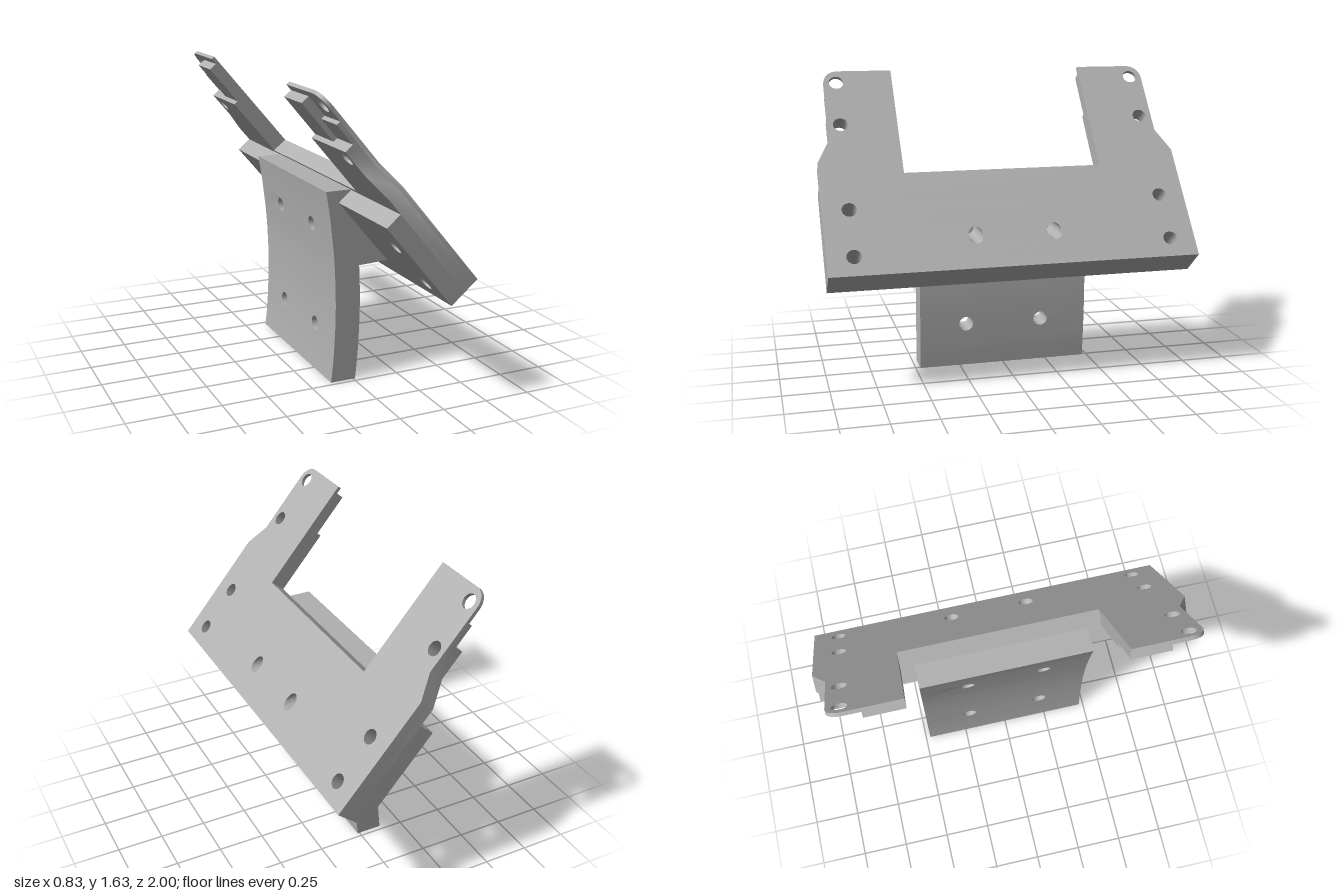
import * as THREE from 'three';
import { mergeGeometries, toCreasedNormals } from 'three/addons/utils/BufferGeometryUtils.js';

const TILT = THREE.MathUtils.degToRad(50);
const SIN = Math.sin(TILT), COS = Math.cos(TILT);

// Ring of points for a hole, centred at y + skew * depth
function ring(h, z) {
  const pts = [];
  for (let i = 0; i < 32; i++) {
    const a = (i / 32) * Math.PI * 2;
    pts.push([h.x + h.rx * Math.cos(a), h.y - h.skew * z + h.ry * Math.sin(a)]);
  }
  return pts;
}

// Solid between z0 and z1 with a counter-clockwise outline and straight or slanted holes
function prism(outline, holes, z0, z1) {
  const pos = [];
  const vec = (pts) => pts.map(([x, y]) => new THREE.Vector2(x, y));
  for (const z of [z0, z1]) {
    const shape = new THREE.Shape(vec(outline));
    for (const h of holes) shape.holes.push(new THREE.Path(vec(ring(h, z))));
    const cap = new THREE.ShapeGeometry(shape).toNonIndexed().attributes.position;
    for (let i = 0; i < cap.count; i += 3) {
      const order = z === z1 ? [0, 1, 2] : [0, 2, 1];
      for (const k of order) pos.push(cap.getX(i + k), cap.getY(i + k), z);
    }
  }
  const wall = (low, high) => {
    for (let i = 0; i < low.length; i++) {
      const j = (i + 1) % low.length;
      const a = [...low[i], z0], b = [...low[j], z0], c = [...high[j], z1], d = [...high[i], z1];
      pos.push(...a, ...b, ...c, ...a, ...c, ...d);
    }
  };
  wall(outline, outline);
  for (const h of holes) wall(ring(h, z0).reverse(), ring(h, z1).reverse());
  const g = new THREE.BufferGeometry();
  g.setAttribute('position', new THREE.Float32BufferAttribute(pos, 3));
  return g;
}

const rect = (x0, x1, y0, y1) => [[x0, y0], [x1, y0], [x1, y1], [x0, y1]];
const mirrored = (half) => [...half, ...half.map(([x, y]) => [-x, y]).reverse()];

export function createModel() {
  const model = new THREE.Group();
  model.name = 'angledBracket';
  const grey = new THREE.MeshStandardMaterial({ color: 0xb0b0b0 });
  grey.name = 'grey';

  const add = (parent, name, geometry) => {
    const mesh = new THREE.Mesh(toCreasedNormals(geometry, 0.5), grey);
    mesh.name = name;
    parent.add(mesh);
    return mesh;
  };

  // Tilted plate: local x across, y up the slope, z out of the top face
  const plate = new THREE.Group();
  plate.name = 'tiltedPlate';
  plate.applyMatrix4(new THREE.Matrix4().makeBasis(
    new THREE.Vector3(0, 0, -1),
    new THREE.Vector3(-COS, SIN, 0),
    new THREE.Vector3(SIN, COS, 0),
  ).setPosition(0.417, 0.667, 0));
  model.add(plate);

  // Square mounting holes along the sides, level holes in the middle
  const sideHoles = (...ys) => ys.flatMap((y) => [-0.86, 0.86].map((x) => ({ x, y, rx: 0.04, ry: 0.04, skew: 0 })));
  const levelHoles = [-0.215, 0.215].map((x) => ({ x, y: 0.193, rx: 0.04, ry: 0.04 / SIN, skew: COS / SIN }));

  const shoulder = [[1, 0], [1, 0.67], [0.93, 0.807]];
  const corner = [];
  for (let i = 0; i <= 8; i++) {
    const a = (i / 8) * Math.PI / 2;
    corner.push([0.85 + 0.08 * Math.cos(a), 1.177 + 0.08 * Math.sin(a)]);
  }
  const face = mirrored([...shoulder, ...corner, [0.55, 1.257], [0.55, 0.588]]);
  const core = mirrored([...shoulder, [0.93, 0.968], [0.55, 0.968], [0.55, 0.588]]);
  add(plate, 'topSkin', prism(face, [...sideHoles(0.108, 0.38, 0.905, 1.18), ...levelHoles], -0.02, 0));
  add(plate, 'plateCore', prism(core, [...sideHoles(0.108, 0.38, 0.905), ...levelHoles], -0.092, -0.02));
  add(plate, 'thickBase', prism(rect(-1, 1, 0, 0.57), [...sideHoles(0.108, 0.38), ...levelHoles], -0.186, -0.092));

  // Stepped ribs under each arm
  for (const s of [-1, 1]) {
    const span = (a, b) => (s > 0 ? [a, b] : [-b, -a]);
    add(plate, 'armRib', prism(rect(...span(0.55, 0.76), 0.96, 1.22), [], -0.066, -0.02));
    add(plate, 'armStep', prism(rect(...span(0.76, 0.93), 0.96, 1.095), [], -0.042, -0.02));
  }

  // Curved stand, made of strips bent along an arc
  const levels = [0, 0.08, 0.17, 0.32, 0.42, 0.52, 0.62, 0.73, 0.9, 0.97, 1.048];
  const strips = levels.slice(1).map((top, i) => {
    const holes = [0.245, 0.815].filter((y) => y > levels[i] && y < top)
      .flatMap((y) => [-0.215, 0.215].map((x) => ({ x, y, rx: 0.04, ry: 0.04, skew: 0 })));
    return prism(rect(-0.475, 0.475, levels[i], top), holes, -0.105, 0.035);
  });
  const standGeometry = mergeGeometries(strips);
  const p = standGeometry.attributes.position;
  for (let i = 0; i < p.count; i++) {
    const r = p.getZ(i) + 3.605;
    p.setZ(i, Math.sqrt(r * r - (p.getY(i) - 0.42) ** 2) - 3.605);
  }
  add(model, 'curvedStand', standGeometry).rotation.y = Math.PI / 2;

  // Wedges joining the stand to the plate
  const wedge = [[0, 0.635], [0.03, 0.635], [0.2, 0.643], [0.23, 0.645], [0.04, 0.87], [-0.02, 0.87]];
  for (const z of [-0.475, 0.315]) {
    add(model, 'supportWedge', prism(wedge, [], z, z + 0.16));
  }
  return model;
}
